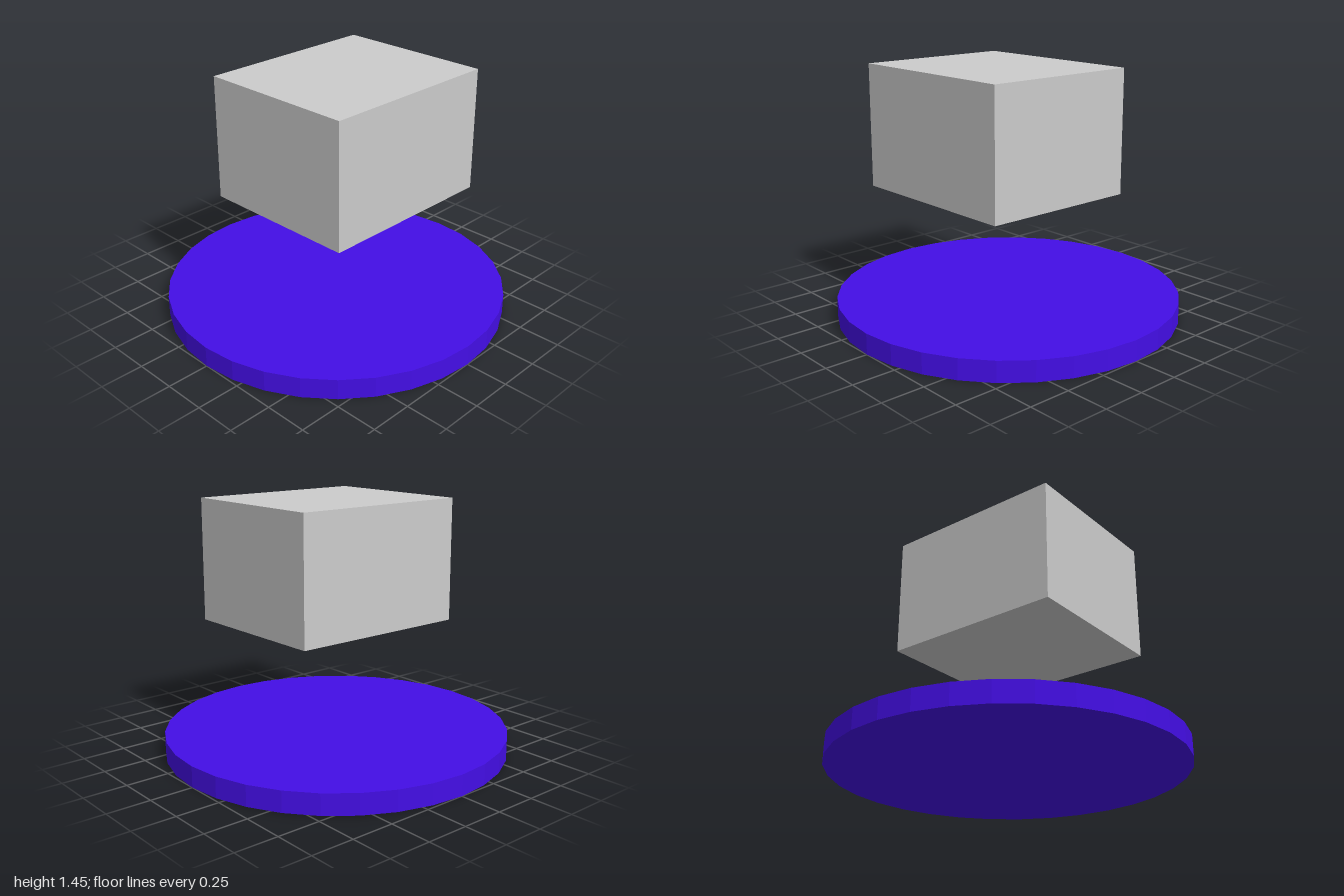
import * as THREE from 'three';

export function createModel() {
  const model = new THREE.Group();

  const addPart = (name, geometry, color, x, y, z) => {
    const material = new THREE.MeshStandardMaterial({ color, flatShading: true });
    const mesh = new THREE.Mesh(geometry, material);
    mesh.name = name;
    mesh.position.set(x, y, z);
    model.add(mesh);
  };

  // Round base plate, 32 sides, standing on the ground
  addPart('basePlate', new THREE.CylinderGeometry(1, 1, 0.12, 32), 0x440ee6, 0, 0.06, 0);

  // Block floating above the plate, slightly off centre
  addPart('floatingBlock', new THREE.BoxGeometry(0.93, 0.71, 1.08), 0xcccccc, 0.095, 1.095, 0.01);

  return model;
}
